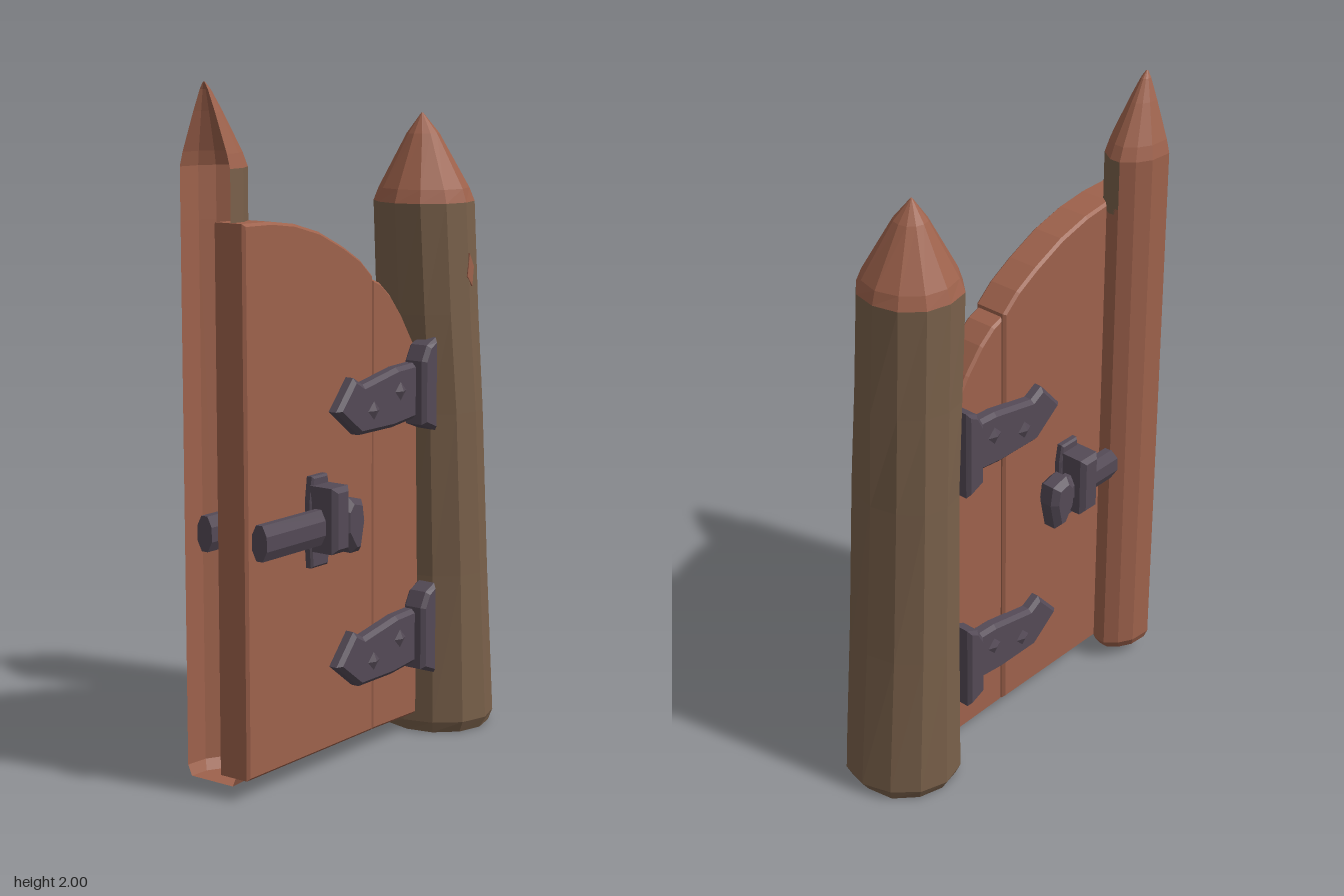
import * as THREE from 'three';

const mat = (name, color, double) => {
  const m = new THREE.MeshStandardMaterial({ color, flatShading: true });
  m.name = name;
  if (double) m.side = THREE.DoubleSide;
  return m;
};

// Skin a stack of [x, y, z] rings; caps are fans to the ring centre
function loft(rings, closed, capBottom, capTop) {
  const pos = [];
  const tri = (...pts) => pts.forEach(p => pos.push(...p));
  const n = rings[0].length;
  const segs = closed ? n : n - 1;
  for (let i = 0; i < rings.length - 1; i++) {
    for (let j = 0; j < segs; j++) {
      const k = (j + 1) % n;
      const [a, b, c, d] = [rings[i][j], rings[i][k], rings[i + 1][k], rings[i + 1][j]];
      tri(a, b, c, a, c, d);
    }
  }
  const cap = (ring, flip) => {
    const m = [0, 1, 2].map(q => ring.reduce((s, p) => s + p[q], 0) / n);
    for (let j = 0; j < n; j++) {
      const a = ring[j], b = ring[(j + 1) % n];
      flip ? tri(m, b, a) : tri(m, a, b);
    }
  };
  if (capBottom) cap(rings[0], true);
  if (capTop) cap(rings[rings.length - 1], false);
  const g = new THREE.BufferGeometry();
  g.setAttribute('position', new THREE.Float32BufferAttribute(pos, 3));
  g.computeVertexNormals();
  return g;
}

// Bevelled flat piece from an outline, centred on z = 0; size stays true
function slab(points, depth, bevel) {
  const shape = new THREE.Shape(points.map(p => new THREE.Vector2(p[0], p[1])));
  const g = new THREE.ExtrudeGeometry(shape, {
    depth: depth - 2 * bevel, bevelEnabled: true, bevelThickness: bevel,
    bevelSize: bevel, bevelOffset: -bevel, bevelSegments: 1, curveSegments: 1,
  });
  return g.translate(0, 0, -(depth - 2 * bevel) / 2);
}

const rect = (x0, x1, y0, y1) => [[x0, y0], [x1, y0], [x1, y1], [x0, y1]];

export function createModel() {
  const root = new THREE.Group();
  root.name = 'woodenGate';
  const wood = mat('redWood', 0x9e624c, true);
  const bark = mat('brownBark', 0x79604a, true);
  const iron = mat('darkIron', 0x544a56);
  const add = (name, geo, material, parent = root) => {
    const m = new THREE.Mesh(geo, material);
    m.name = name;
    parent.add(m);
    return m;
  };

  // Large leaning log post: [y, centre x, centre z, radius x, radius z]
  let seed = 7;
  const rnd = () => (seed = (seed * 16807) % 2147483647) / 2147483647;
  const ring = ([y, cx, cz, rx, rz], wobble = 0.05) => Array.from({ length: 12 }, (_, j) => {
    const a = j / 12 * Math.PI * 2;
    const k = 1 + (rnd() - 0.5) * wobble;
    return [cx + Math.cos(a) * rx * k, y, cz - Math.sin(a) * rz * k];
  });
  const logRings = [
    [0.005, 0.39, 0, 0.155, 0.165], [0.04, 0.392, 0, 0.172, 0.182],
    [0.5, 0.375, 0, 0.15, 0.174], [1.0, 0.355, 0, 0.14, 0.165],
    [1.3, 0.338, -0.003, 0.145, 0.158], [1.63, 0.324, -0.007, 0.147, 0.152],
  ].map(r => ring(r));
  add('mainPost', loft(logRings, true, true, false), bark);
  const coneRings = [logRings[5], ring([1.67, 0.323, -0.007, 0.134, 0.138], 0.03),
    ring([1.83, 0.318, -0.008, 0.047, 0.05], 0.03), ring([1.89, 0.315, -0.01, 0.003, 0.003])];
  add('mainPostTip', loft(coneRings, true, false, true), wood);
  // Bare patch where the bark is chipped
  add('barkChip', slab([[0.325, 1.41], [0.35, 1.38], [0.358, 1.44], [0.335, 1.48]], 0.008, 0.001), wood)
    .position.z = 0.148;

  // Half post behind the door, cut flat and open on its outer side
  const half = [[0, 0.09], [0.06, 0.085], [0.115, 0.055], [0.145, 0.01],
    [0.145, -0.025], [0.115, -0.06], [0.07, -0.085], [0, -0.09]];
  const halfRing = (y, s, from = 0, to = 7, dy = 0) => half.slice(from, to + 1).map(([x, z], j) =>
    [-0.57 + x * s, y + dy * ((j % 2) * 2 - 1), -0.095 + z * s]);
  add('halfPostLower', loft([halfRing(0.04, 0.85), halfRing(0.07, 1), halfRing(1.62, 1)], false, true, false), wood);
  add('halfPostBack', loft([halfRing(1.62, 1, 4), halfRing(1.77, 1, 4)], false), wood);
  add('halfPostFront', loft([halfRing(1.6, 1, 0, 4), halfRing(1.77, 1, 0, 4)], false), bark);
  add('halfPostTip', loft([halfRing(1.77, 1), halfRing(1.81, 0.88),
    halfRing(1.92, 0.43), halfRing(1.98, 0.16), halfRing(2, 0.03)], false), wood);

  // Door: a wide plank and a narrow one under a curved top
  const door = new THREE.Group();
  door.name = 'door';
  door.position.z = -0.014;
  root.add(door);
  add('widePlank', slab([[-0.57, 0.065], [0.006, 0.068], [0.008, 1.435], [-0.05, 1.485],
    [-0.13, 1.53], [-0.24, 1.58], [-0.35, 1.61], [-0.45, 1.623], [-0.57, 1.625]], 0.11, 0.008), wood, door);
  add('narrowPlank', slab([[0.007, 0.066], [0.3, 0.062], [0.3, 1.1], [0.2, 1.24],
    [0.16, 1.3], [0.1, 1.37], [0.05, 1.41], [0.009, 1.425]], 0.1, 0.008), wood, door);

  // Iron fittings, repeated on both faces of the door
  const mid = -0.013;
  for (const [side, s] of [['front', 1], ['back', -1]]) {
    const fittings = new THREE.Group();
    fittings.name = side + 'Fittings';
    root.add(fittings);
    const iro = (name, geo, z) => {
      const m = add(name, geo, iron, fittings);
      m.position.z = mid + s * z;
      return m;
    };

    // Hinges with a pointed strap and an upright plate
    for (const [label, y] of [['upper', 1.07], ['lower', 0.32]]) {
      iro(label + 'HingeStrap', slab([[-0.205, y - 0.005], [-0.1, y - 0.085], [0.06, y - 0.085],
        [0.2, y - 0.07], [0.2, y + 0.095], [0.08, y + 0.09], [-0.08, y + 0.06],
        [-0.125, y + 0.085]], 0.05, 0.012), 0.067);
      iro(label + 'HingePlate', slab([[0.165, y - 0.09], [0.235, y - 0.115], [0.235, y + 0.165],
        [0.19, y + 0.145], [0.165, y + 0.1]], 0.08, 0.012), 0.085);
      // Hammered lumps on the strap
      for (const [x, dy] of [[-0.04, -0.02], [0.09, 0.02]]) {
        const lump = iro(label + 'HingeLump', new THREE.OctahedronGeometry(0.045), 0.085);
        lump.position.x = x;
        lump.position.y = y + dy;
        lump.scale.z = 0.4;
      }
    }

    // Sliding bolt: octagonal bar, collar and knob
    const bar = iro('boltBar', new THREE.CylinderGeometry(0.055, 0.055, 0.38, 8)
      .rotateY(Math.PI / 8).rotateZ(Math.PI / 2).scale(1, 1, 0.52), 0.099);
    bar.position.x = -0.38;
    bar.position.y = 0.755;
    iro('boltKnob', slab([[-0.23, 0.72], [-0.19, 0.66], [-0.15, 0.66], [-0.13, 0.75],
      [-0.14, 0.81], [-0.2, 0.825], [-0.23, 0.79]], 0.075, 0.018), 0.101);
    iro('boltCollar', slab(rect(-0.31, -0.235, 0.68, 0.87), 0.105, 0.014), 0.107);
    iro('boltFlange', slab([[-0.31, 0.63], [-0.235, 0.63], [-0.225, 0.69], [-0.225, 0.84],
      [-0.235, 0.895], [-0.305, 0.895], [-0.315, 0.82], [-0.315, 0.69]], 0.03, 0.006), 0.062);
  }
  return root;
}
